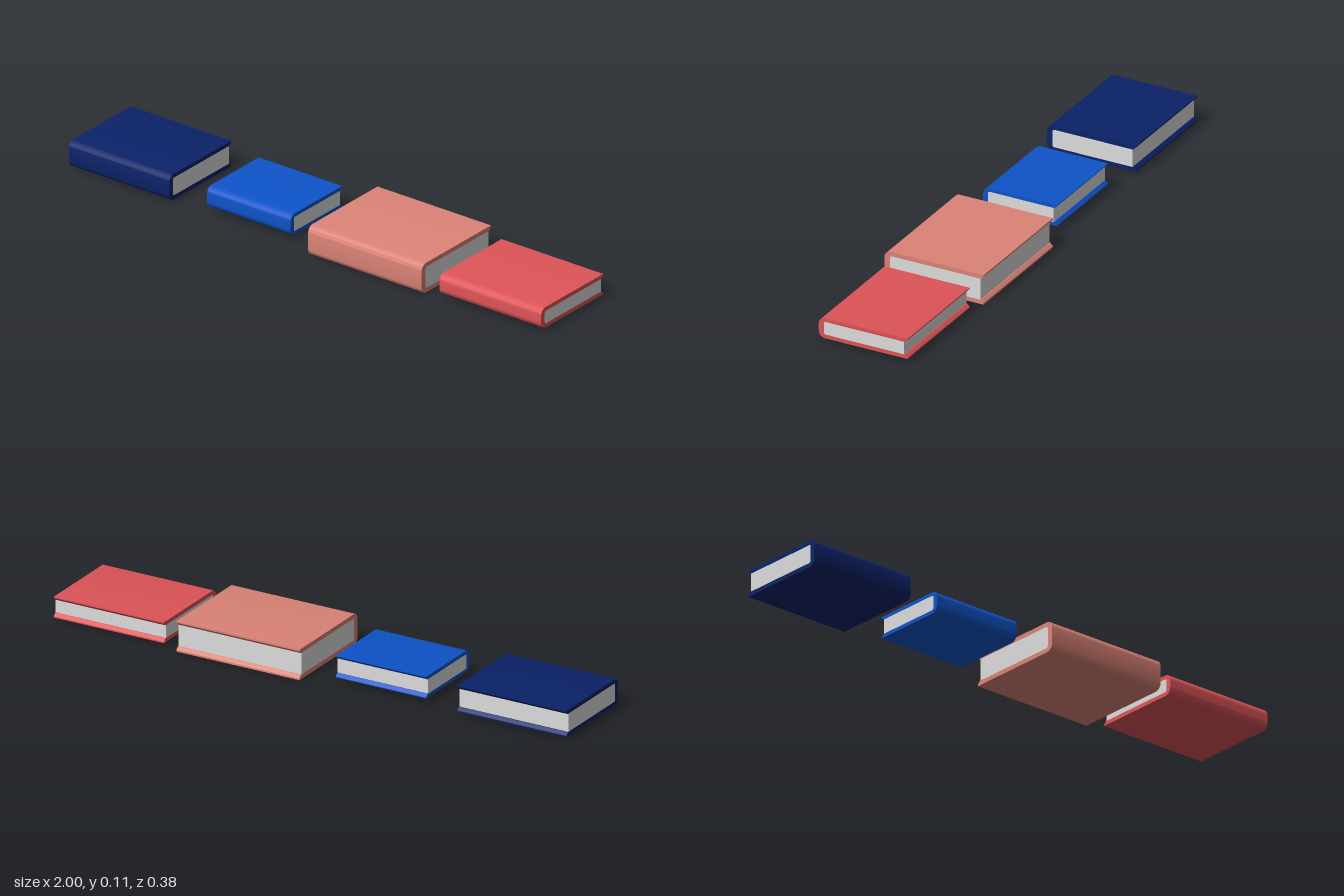
import * as THREE from 'three';
import { toCreasedNormals } from 'three/addons/utils/BufferGeometryUtils.js';

const material = (name, color) => {
  const m = new THREE.MeshStandardMaterial({ color });
  m.name = name;
  return m;
};

// Sweeps a side profile (profile x = -z, profile y = y) along x.
function sweep(shape, x0, x1, name, mat) {
  const geo = new THREE.ExtrudeGeometry(shape, { depth: x1 - x0, bevelEnabled: false, curveSegments: 8 });
  geo.rotateY(Math.PI / 2);
  geo.translate(x0, 0, 0);
  const mesh = new THREE.Mesh(toCreasedNormals(geo, 0.6), mat);
  mesh.name = name;
  return mesh;
}

function makeBook({ name, x0, x1, y0, y1, front, back, board, spine, cover }, paper) {
  const book = new THREE.Group();
  book.name = name;
  const s = -front, e = -back;           // spine and fore edge along the profile
  const r = 0.025, ri = 0.008, c = 0.01; // outer round, inner round, edge chamfer
  const si = s + spine, lo = y0 + board, hi = y1 - board;

  // C-shaped cover: rounded spine, boards chamfered inside the fore edge
  const shell = new THREE.Shape();
  shell.moveTo(e, y0);
  shell.lineTo(e, y0 + board - c);
  shell.lineTo(e - c, lo);
  shell.lineTo(si + ri, lo);
  shell.quadraticCurveTo(si, lo, si, lo + ri);
  shell.lineTo(si, hi - ri);
  shell.quadraticCurveTo(si, hi, si + ri, hi);
  shell.lineTo(e - c, hi);
  shell.lineTo(e, hi + c);
  shell.lineTo(e, y1);
  shell.lineTo(s + r, y1);
  shell.absarc(s + r, y1 - r, r, Math.PI / 2, Math.PI, false);
  shell.lineTo(s, y0 + r);
  shell.absarc(s + r, y0 + r, r, Math.PI, Math.PI * 1.5, false);
  book.add(sweep(shell, x0, x1, 'cover', cover));

  // Page block, flush with the cover at both ends
  const block = new THREE.Shape();
  block.moveTo(e - 0.013, lo);
  block.lineTo(e - 0.013, hi);
  block.lineTo(si + ri, hi);
  block.quadraticCurveTo(si, hi, si, hi - ri);
  block.lineTo(si, lo + ri);
  block.quadraticCurveTo(si, lo, si + ri, lo);
  book.add(sweep(block, x0, x1, 'pages', paper));
  return book;
}

export function createModel() {
  const group = new THREE.Group();
  group.name = 'books';
  const paper = material('paper', 0xdcdcdc);
  const books = [
    { name: 'navyBook', x0: -1, x1: -0.575, y0: 0.01, y1: 0.106, front: 0.167, back: -0.172,
      board: 0.015, spine: 0.02, cover: material('navy', 0x0b2268) },
    { name: 'blueBook', x0: -0.436, x1: -0.083, y0: 0.018, y1: 0.097, front: 0.14, back: -0.143,
      board: 0.013, spine: 0.018, cover: material('blue', 0x0d53c8) },
    { name: 'salmonBook', x0: 0.03, x1: 0.51, y0: 0, y1: 0.111, front: 0.19, back: -0.19,
      board: 0.016, spine: 0.022, cover: material('salmon', 0xdc8377) },
    { name: 'redBook', x0: 0.57, x1: 1, y0: 0.01, y1: 0.086, front: 0.17, back: -0.17,
      board: 0.0145, spine: 0.02, cover: material('red', 0xdd5458) },
  ];
  for (const spec of books) group.add(makeBook(spec, paper));
  return group;
}
